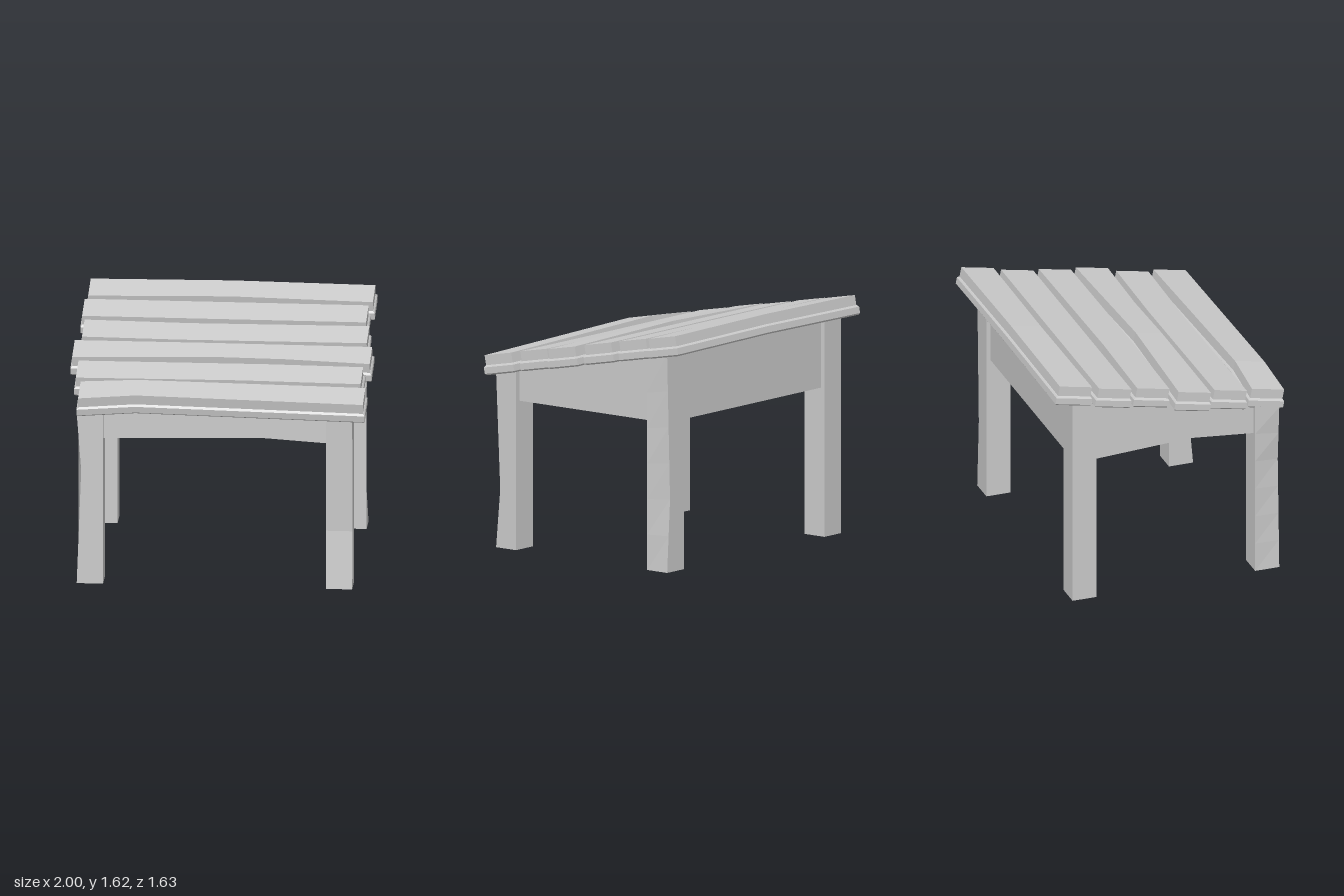
import * as THREE from 'three';

const material = new THREE.MeshStandardMaterial({ color: 0xcccccc, flatShading: true });
const SLOPE = 0.196;
const ANGLE = Math.atan(SLOPE);

// Height of the underside of the sloping top
const underside = (z) => 1.165 + SLOPE * (0.8 - z);

// Piecewise linear bump: 1 at peak, 0 at lo and hi
const bump = (t, lo, peak, hi) =>
  Math.max(0, t < peak ? (t - lo) / (peak - lo) : (hi - t) / (hi - peak));

// Move every vertex of a geometry by a rule
function reshape(geometry, rule) {
  const p = geometry.attributes.position;
  const v = new THREE.Vector3();
  for (let i = 0; i < p.count; i++) {
    v.fromBufferAttribute(p, i);
    rule(v);
    p.setXYZ(i, v.x, v.y, v.z);
  }
  const flat = geometry.toNonIndexed();
  flat.computeVertexNormals();
  return flat;
}

function part(name, geometry) {
  const mesh = new THREE.Mesh(geometry, material);
  mesh.name = name;
  return mesh;
}

// Upright timber whose top is cut to the slope
function timber(name, [x0, x1], [z0, z1], y0, segments, warp) {
  const geo = new THREE.BoxGeometry(1, 1, 1, ...segments);
  return part(name, reshape(geo, (v) => {
    const u = v.x, w = v.z, h = v.y + 0.5;
    v.x = x0 + (x1 - x0) * (u + 0.5);
    v.z = z0 + (z1 - z0) * (w + 0.5);
    v.y = y0 + (underside(v.z) + 0.01 - y0) * h;
    if (warp) warp(v, u, w, h);
  }));
}

// Plank section from bottom to top: [height, inset]
const LEVELS = [[0, 0.01], [0.01, 0], [0.053, 0], [0.063, 0.008], [0.066, 0.012], [0.133, 0.012]];
const WIDTH = 0.255;

// Sloping plank; each kink is [x, amount], for its height, back edge and front edge
function plank({ x, z, lift = [0, 0], back = [0, 0], front = [0, 0] }) {
  const [x0, x1] = x;
  // Stations along the plank fall exactly on the kinks
  const stations = [x0, ...new Set([lift[0], back[0], front[0]].sort((a, b) => a - b)), x1];
  const n = stations.length - 1;
  const geo = new THREE.BoxGeometry(1, 1, WIDTH, n, LEVELS.length - 1, 1);
  const kink = ([peak, amount], px) => amount * bump(px, x0, peak, x1);
  return part('plank', reshape(geo, (v) => {
    const i = Math.round((v.x + 0.5) * n);
    const [h, inset] = LEVELS[Math.round((v.y + 0.5) * (LEVELS.length - 1))];
    const px = stations[i];
    const side = Math.sign(v.z);
    const w = side * (WIDTH / 2 - inset) + kink(side < 0 ? back : front, px);
    v.x = px + (i === 0 ? inset : i === n ? -inset : 0);
    v.z = z + w * Math.cos(ANGLE) + h * Math.sin(ANGLE);
    v.y = underside(z) - w * Math.sin(ANGLE) + h * Math.cos(ANGLE) + kink(lift, px);
  }));
}

export function createModel() {
  const model = new THREE.Group();
  model.name = 'slopedTable';

  // Planked top, front to back
  const top = new THREE.Group();
  top.name = 'tableTop';
  [
    { x: [-0.92, 0.99], z: 0.68, lift: [-0.53, 0.03], back: [-0.53, 0.02] },
    { x: [-0.955, 0.955], z: 0.405, front: [0.15, -0.015], back: [0.3, -0.01] },
    { x: [-1, 0.995], z: 0.135, lift: [-0.08, 0.018], back: [-0.08, 0.03], front: [0.42, -0.02] },
    { x: [-0.955, 0.955], z: -0.14, back: [-0.25, 0.015], front: [-0.3, 0.01] },
    { x: [-0.975, 0.93], z: -0.415 },
    { x: [-0.955, 0.955], z: -0.685, lift: [0, 0.01], front: [0, -0.015] },
  ].forEach((p) => top.add(plank(p)));
  model.add(top);

  // Legs, each hewn with a slight hollow on one face or corner
  const xLeft = [0.73, 0.905], xRight = [-0.92, -0.745];
  const zFront = [0.61, 0.78], zBack = [-0.675, -0.505];
  const segments = [1, 6, 1];
  model.add(timber('frontLeftLeg', xLeft, zFront, 0, segments, (v, u, w, h) => {
    if (w > 0) v.z -= 0.035 * bump(h, 0, 1 / 3, 1);
  }));
  model.add(timber('frontRightLeg', xRight, zFront, 0, segments, (v, u, w, h) => {
    if (u < 0 && w > 0) v.x += 0.03 * bump(h, 0, 2 / 3, 1);
  }));
  model.add(timber('backLeftLeg', xLeft, zBack, 0, segments, (v, u, w, h) => {
    if (u > 0 && w < 0) v.x -= 0.03 * bump(h, 0, 1 / 3, 1);
  }));
  model.add(timber('backRightLeg', xRight, zBack, 0, segments));

  // Rails between the legs
  const low = 1.0;
  model.add(timber('frontRail', [-0.76, 0.745], [0.64, 0.745], low, [10, 1, 1], (v, u, w, h) => {
    if (h < 0.5) v.y += 0.028 * bump(u, -0.5, 0.2, 0.5);
  }));
  model.add(timber('backRail', [-0.76, 0.745], [-0.645, -0.54], low, [1, 1, 1]));
  model.add(timber('leftRail', [0.765, 0.87], [-0.52, 0.625], low, [1, 1, 1]));
  model.add(timber('rightRail', [-0.885, -0.78], [-0.52, 0.625], low, [1, 1, 10], (v, u, w, h) => {
    if (h < 0.5) v.y += 0.04 * bump(w, -0.5, 0.1, 0.5);
  }));

  return model;
}
